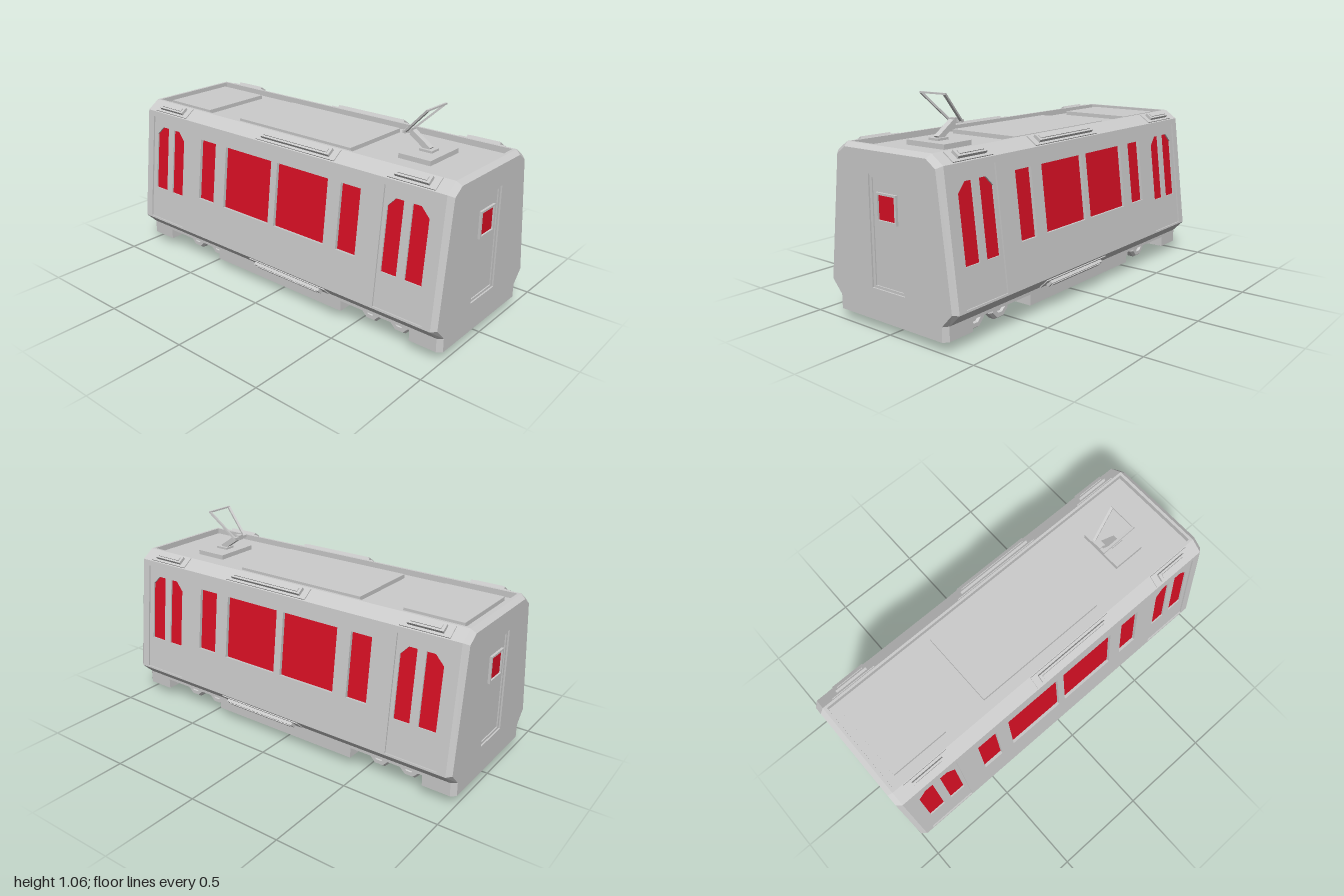
import * as THREE from 'three';

const grey = new THREE.MeshStandardMaterial({ color: 0xcccccc, flatShading: true });
const red = new THREE.MeshStandardMaterial({ color: 0xd90f24, flatShading: true });

// Right half of the body section (x, y), full size and at the bevelled ends
const FULL = [[0.345, 0.12], [0.405, 0.18], [0.33, 0.8], [0.265, 0.845]];
const END = [[0.325, 0.12], [0.385, 0.185], [0.308, 0.788], [0.255, 0.825]];
const BEVEL_Z = 0.975;
const mirrored = (pts) => [...pts, ...pts.map(([x, y]) => [-x, y]).reverse()];
const rect = (x0, x1, y0, y1) => [[x0, y0], [x1, y0], [x1, y1], [x0, y1]];
const vectors = (pts) => pts.map(([x, y]) => new THREE.Vector2(x, y));

function add(parent, name, geometry, material = grey, x = 0, y = 0, z = 0) {
  const mesh = new THREE.Mesh(geometry, material);
  mesh.name = name;
  mesh.position.set(x, y, z);
  parent.add(mesh);
  return mesh;
}

function box(parent, name, size, pos, material) {
  return add(parent, name, new THREE.BoxGeometry(...size), material, ...pos);
}

function slab(outline, depth, holes = []) {
  const shape = new THREE.Shape(vectors(outline));
  shape.holes = holes.map((h) => new THREE.Path(vectors(h)));
  return new THREE.ExtrudeGeometry(shape, { depth, bevelEnabled: false });
}

// Slab drawn in plan (x, z) and rising from y0
function planSlab(parent, name, outline, y0, depth, holes) {
  add(parent, name, slab(outline, depth, holes), grey, 0, y0).rotation.x = -Math.PI / 2;
}

// Square bar between two points
function bar(parent, name, a, b, w, h) {
  const from = new THREE.Vector3(...a), to = new THREE.Vector3(...b);
  const mesh = add(parent, name, new THREE.BoxGeometry(w, h, from.distanceTo(to)));
  mesh.position.copy(from).add(to).multiplyScalar(0.5);
  mesh.lookAt(to);
}

// Group lying on a body facet: local x along the car, y up the facet, z outward
function facet(parent, name, s, [x0, y0], [x1, y1]) {
  const g = new THREE.Group();
  g.name = name;
  const X = new THREE.Vector3(0, 0, -s);
  const Y = new THREE.Vector3(s * (x1 - x0), y1 - y0, 0).normalize();
  g.quaternion.setFromRotationMatrix(new THREE.Matrix4().makeBasis(X, Y, X.clone().cross(Y)));
  g.position.set(s * x0, y0, 0);
  parent.add(g);
  return g;
}

// Chamfers, roof slopes and end bevels, as strips between sections
function shellGeometry() {
  const rings = [[END, -1], [FULL, -BEVEL_Z], [FULL, BEVEL_Z], [END, 1]]
    .map(([pts, z]) => mirrored(pts).map(([x, y]) => [x, y, z]));
  const pos = [];
  for (let i = 0; i < 3; i++) {
    for (let j = 0; j < 7; j++) {
      if (i === 1 && j % 2 === 1) continue; // side walls and roof are separate
      const [a, b] = [rings[i][j], rings[i][j + 1]];
      const [d, c] = [rings[i + 1][j], rings[i + 1][j + 1]];
      pos.push(...a, ...b, ...c, ...a, ...c, ...d);
    }
  }
  const g = new THREE.BufferGeometry();
  g.setAttribute('position', new THREE.Float32BufferAttribute(pos, 3));
  g.computeVertexNormals();
  return g;
}

function sideWall(parent, s) {
  const g = facet(parent, 'sideWall', s, FULL[1], FULL[2]);
  const L = Math.hypot(0.075, 0.62);
  const v = (y) => (y - 0.18) * L / 0.62;
  const windows = [], doorWindows = [], doors = [];
  for (const m of [1, -1]) {
    for (const [a, b] of [[0.02, 0.343], [0.42, 0.535]]) windows.push(rect(m * a, m * b, v(0.393), v(0.718)));
    // Door panes with a clipped outer top corner
    for (const [inner, outer] of [[0.765, 0.68], [0.81, 0.9]]) {
      const cut = outer + (inner - outer) * 0.5;
      doorWindows.push([[m * inner, v(0.365)], [m * outer, v(0.365)], [m * outer, v(0.675)],
        [m * cut, v(0.72)], [m * inner, v(0.72)]]);
    }
    doors.push(rect(m * 0.66, m * 0.93, v(0.19), v(0.77)));
  }
  const wall = rect(-BEVEL_Z, BEVEL_Z, 0, L);
  add(g, 'outerSkin', slab(wall, 0.008, [...windows, ...doors]), grey, 0, 0, -0.008);
  add(g, 'doorAndWindowFrames', slab(wall, 0.01, [...windows, ...doorWindows]), grey, 0, 0, -0.018);
  for (const w of [...windows, ...doorWindows]) {
    add(g, 'windowPane', slab(w, 0.004), red, 0, 0, -0.02);
  }
}

// Raised light housing on a facet, between two z positions
function lightBar(g, s, z0, z1, v, w) {
  const u = -s * (z0 + z1) / 2, len = z1 - z0;
  box(g, 'lightPlate', [len + 0.07, w + 0.026, 0.006], [u, v, 0.002]);
  box(g, 'lightHousing', [len, w, 0.02], [u, v, 0.01]);
  box(g, 'lightLens', [len - 0.03, w * 0.5, 0.006], [u, v, 0.021]);
}

function endWall(parent, s) {
  const g = new THREE.Group();
  g.name = 'endWall';
  g.rotation.y = s > 0 ? 0 : Math.PI;
  parent.add(g);
  const opening = rect(-0.105, 0.105, 0.2, 0.72);
  const pane = rect(-0.053, 0.053, 0.52, 0.633);
  add(g, 'endPanel', slab(mirrored(END), 0.015, [opening]), grey, 0, 0, 0.985);
  add(g, 'doorFrame', slab(opening, 0.007, [rect(-0.09, 0.09, 0.212, 0.706)]), grey, 0, 0, 0.985);
  add(g, 'endDoor', slab(opening, 0.01), grey, 0, 0, 0.976);
  add(g, 'endWindowFrame', slab(rect(-0.064, 0.064, 0.508, 0.643), 0.012, [pane]), grey, 0, 0, 0.986);
  add(g, 'endWindowPane', slab(pane, 0.004), red, 0, 0, 0.985);
}

function pantograph(parent) {
  const g = new THREE.Group();
  g.name = 'pantograph';
  parent.add(g);
  box(g, 'base', [0.24, 0.025, 0.175], [0, 0.8265, 0.667]);
  box(g, 'foot', [0.06, 0.012, 0.07], [0, 0.844, 0.668]);
  bar(g, 'lowerArm', [0, 0.845, 0.675], [0, 0.912, 0.575], 0.03, 0.028);
  box(g, 'elbow', [0.03, 0.025, 0.03], [0, 0.918, 0.562]);
  box(g, 'hinge', [0.09, 0.014, 0.016], [0, 0.917, 0.555]);
  for (const s of [1, -1]) bar(g, 'upperArm', [s * 0.038, 0.915, 0.555], [s * 0.074, 1.052, 0.698], 0.013, 0.01);
  box(g, 'contactBar', [0.16, 0.008, 0.01], [0, 1.053, 0.698]);
}

export function createModel() {
  const car = new THREE.Group();
  car.name = 'tramCar';

  // Underframe: one quarter of the plan with its wheel well, then mirrored
  const quarter = [[0.345, 0], [0.345, 0.43], [0.205, 0.43], [0.205, 0.83], [0.345, 0.83], [0.345, BEVEL_Z], [0.325, 1]];
  const flipZ = (pts) => pts.map(([x, z]) => [x, -z]).reverse();
  const plan = (q) => mirrored([...flipZ(q), ...q.slice(1)]);
  planSlab(car, 'underframe', plan(quarter), 0.05, 0.055);
  planSlab(car, 'floor', plan([quarter[0], quarter[5], quarter[6]]), 0.105, 0.015);

  add(car, 'bodyShell', shellGeometry());

  // Roof: rim around a sunken deck with raised hatches
  planSlab(car, 'roofRim', rect(-0.265, 0.265, -BEVEL_Z, BEVEL_Z), 0.812, 0.033,
    [rect(-0.252, 0.252, -0.96, 0.96)]);
  box(car, 'roofDeck', [0.52, 0.012, 1.94], [0, 0.809, 0]);
  box(car, 'middleHatch', [0.405, 0.022, 0.74], [0, 0.825, -0.005]);
  box(car, 'rearHatch', [0.405, 0.022, 0.31], [0, 0.825, -0.765]);
  pantograph(car);

  // Wheel profile (radius, axle distance)
  const wheel = new THREE.LatheGeometry(vectors([[0, 0], [0.07, 0], [0.07, 0.034], [0.058, 0.05],
    [0.036, 0.05], [0.032, 0.036], [0, 0.036]]), 8, Math.PI / 8);

  for (const s of [1, -1]) {
    endWall(car, s);
    sideWall(car, s);
    const roofSlope = facet(car, 'roofLights', s, FULL[2], FULL[3]);
    for (const [a, b] of [[0.7, 0.88], [-0.105, 0.33], [-0.88, -0.7]]) lightBar(roofSlope, s, a, b, 0.04, 0.042);
    const chamfer = facet(car, 'lowerLight', s, FULL[0], FULL[1]);
    lightBar(chamfer, s, -0.105, 0.33, 0.038, 0.034);
    for (const z of [0.715, 0.545, -0.54, -0.71]) {
      add(car, 'wheel', wheel, grey, s * 0.206, 0.065, z).rotation.z = -s * Math.PI / 2;
    }
  }
  return car;
}
